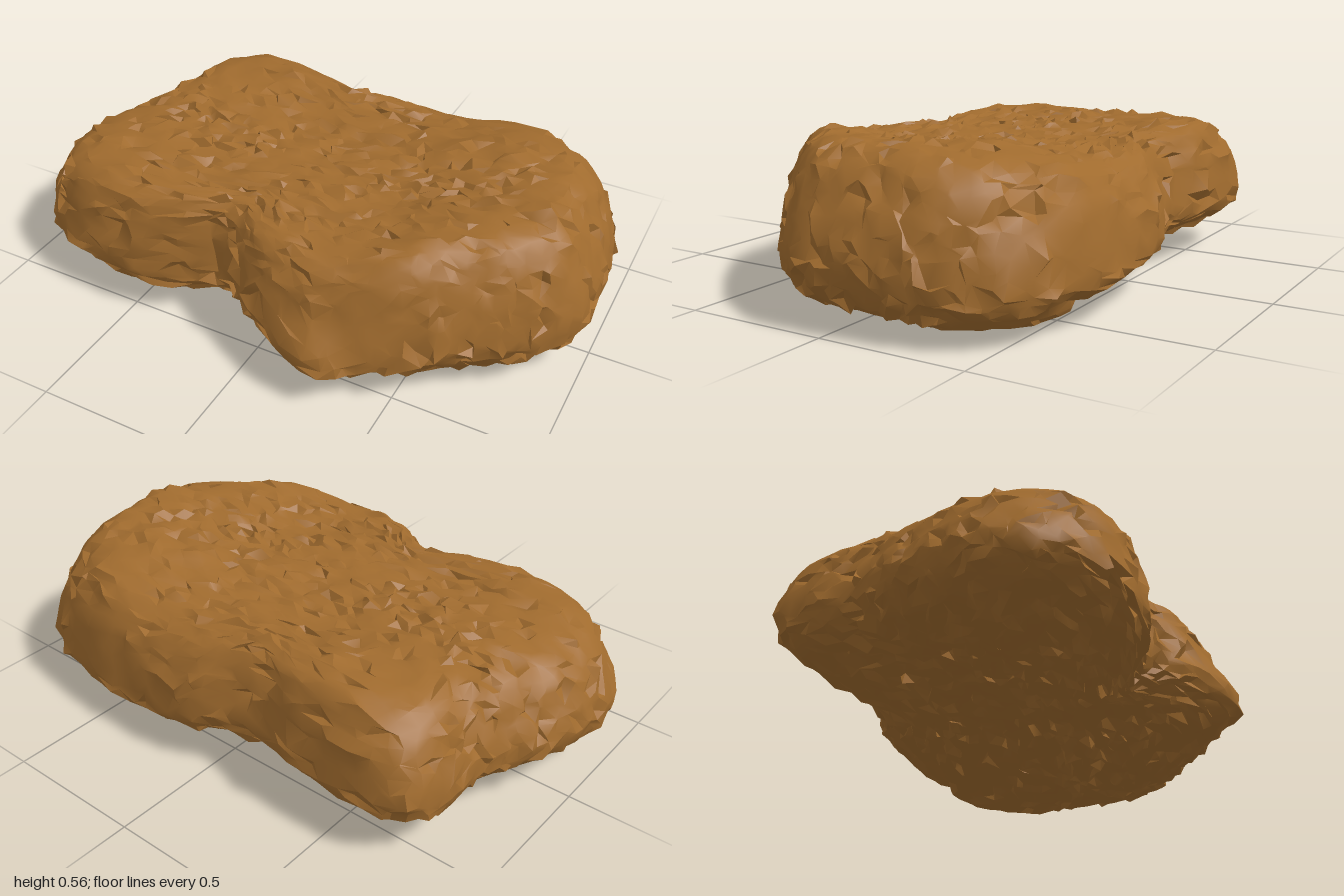
import * as THREE from 'three';
import { mergeVertices, toCreasedNormals } from 'three/addons/utils/BufferGeometryUtils.js';

// Plan outline as [x, z], running from the left end towards the front
const OUTLINE = [
  [1, 0], [0.98, 0.12], [0.89, 0.24], [0.77, 0.34], [0.63, 0.46], [0.42, 0.58], [0.32, 0.65],
  [0.24, 0.67], [0.16, 0.63], [0, 0.54], [-0.1, 0.46], [-0.2, 0.42], [-0.32, 0.48], [-0.46, 0.53],
  [-0.6, 0.52], [-0.76, 0.5], [-0.88, 0.43], [-0.97, 0.31], [-1, 0.17], [-0.97, 0.02],
  [-0.9, -0.16], [-0.83, -0.3], [-0.83, -0.44], [-0.78, -0.6], [-0.69, -0.64], [-0.5, -0.64],
  [-0.36, -0.63], [-0.22, -0.59], [-0.08, -0.6], [0.04, -0.65], [0.2, -0.67], [0.5, -0.66],
  [0.72, -0.62], [0.87, -0.54], [0.96, -0.38], [0.99, -0.2],
];

// Cross-section from top centre over the rim to bottom centre: [reach, height], both 0 to 1
const SECTION = new THREE.CatmullRomCurve3([
  [0, 0.97], [0.25, 0.97], [0.5, 0.975], [0.7, 0.99], [0.81, 0.975], [0.89, 0.88], [0.95, 0.68], [1, 0.39],
  [0.975, 0.21], [0.91, 0.08], [0.8, 0.02], [0.6, 0.01], [0.3, 0.03], [0, 0.04],
].map(([s, h]) => new THREE.Vector3(s, h * 0.5, 0)));

const { smoothstep, clamp } = THREE.MathUtils;
const cross = (a, b) => a[0] * b[1] - a[1] * b[0];

// Distance from the middle to the outline along an angle
function reach(angle) {
  const d = [Math.cos(angle), Math.sin(angle)];
  for (let i = 0; i < OUTLINE.length; i++) {
    const a = OUTLINE[i], b = OUTLINE[(i + 1) % OUTLINE.length];
    if (cross(a, d) >= -1e-9 && cross(d, b) >= -1e-9 && a[0] * d[0] + a[1] * d[1] > 0) {
      return cross(a, b) / cross(d, [b[0] - a[0], b[1] - a[1]]);
    }
  }
  return 0.8;
}

// Averaged reach, so that corners and the notch soften away from the rim
function softReach(angle, width) {
  let sum = 0;
  for (let k = -3; k <= 3; k++) sum += reach(angle + (k / 3) * width);
  return sum / 7;
}

function seeded(seed) {
  return () => {
    seed = (seed * 1664525 + 1013904223) % 4294967296;
    return seed / 4294967296;
  };
}

function rockGeometry() {
  // Evenly split ball, welded so that neighbouring faces stay joined
  const ball = new THREE.IcosahedronGeometry(1, 21);
  ball.deleteAttribute('normal');
  ball.deleteAttribute('uv');
  const geo = mergeVertices(ball, 1e-4);
  const pos = geo.attributes.position;
  const random = seeded(17);
  const v = new THREE.Vector3();
  const rough = [];

  // Reshape the ball to the outline and cross-section
  for (let i = 0; i < pos.count; i++) {
    v.fromBufferAttribute(pos, i);
    const jitter = () => (random() - 0.5) * 0.05;
    v.set(v.x + jitter(), v.y + jitter(), v.z + jitter()).normalize();
    const angle = Math.atan2(v.z * 0.65, v.x);
    const p = SECTION.getPointAt(Math.acos(clamp(v.y, -1, 1)) / Math.PI);
    const h = p.y * 2;

    // The front point slopes back as it rises
    const point = Math.exp(-(((angle - 1.22) / 0.24) ** 2));
    const width = 0.7 * Math.max(0, 1 - p.x);
    const r = softReach(angle, width) * p.x * (1 - 0.11 * point * smoothstep(h, 0.36, 0.65));
    const x = Math.cos(angle) * r, z = Math.sin(angle) * r;

    // The left half is thicker; its back edge rounds off, while the back right corner stays high
    const top = 0.475 + 0.06 * smoothstep(x, 0.2, 0.6) + 0.01 * smoothstep(x, 0.6, 0.85)
      - 0.05 * smoothstep(-z, 0.3, 0.65) * smoothstep(x, -0.2, 0.3)
      + 0.025 * smoothstep(-z, 0.1, 0.5) * smoothstep(-x, 0.2, 0.5);
    const bottom = 0.085 - 0.07 * smoothstep(x, 0, 0.55)
      + 0.035 * smoothstep(z, 0.05, 0.5) * smoothstep(x, -0.4, 0.2) + 0.03 * smoothstep(-z, 0.45, 0.65);
    const lumps = 0.005 * Math.sin(9 * x + 4 * z) + 0.005 * Math.sin(11 * z - 5 * x);
    const sag = 0.08 * Math.abs(z) * Math.exp(-(((h - 0.35) / 0.2) ** 2)) * p.x;
    pos.setXYZ(i, x, bottom + (top - bottom) * h + lumps - sag, z);
    rough.push(h > 0.35 && p.x > 0.7 ? 0.6 : 1);
  }

  // Chip the surface: some vertices stand out or sink in
  geo.computeVertexNormals();
  const normal = geo.attributes.normal;
  for (let i = 0; i < pos.count; i++) {
    const chipped = random() < 0.4 * rough[i];
    const push = (random() - 0.54) * (chipped ? 0.04 : 0.008);
    v.fromBufferAttribute(normal, i).multiplyScalar(push);
    pos.setXYZ(i, pos.getX(i) + v.x, pos.getY(i) + v.y, pos.getZ(i) + v.z);
  }

  // Settle on the ground
  geo.computeBoundingBox();
  const mid = geo.boundingBox.getCenter(new THREE.Vector3());
  geo.translate(-mid.x, -geo.boundingBox.min.y, -mid.z);
  geo.deleteAttribute('normal');
  return toCreasedNormals(geo, 0.5);
}

export function createModel() {
  const brown = new THREE.MeshStandardMaterial({ color: 0xa06b2e });
  brown.name = 'earthBrown';
  const rock = new THREE.Mesh(rockGeometry(), brown);
  rock.name = 'rock';
  const group = new THREE.Group();
  group.name = 'flatRock';
  group.add(rock);
  return group;
}
